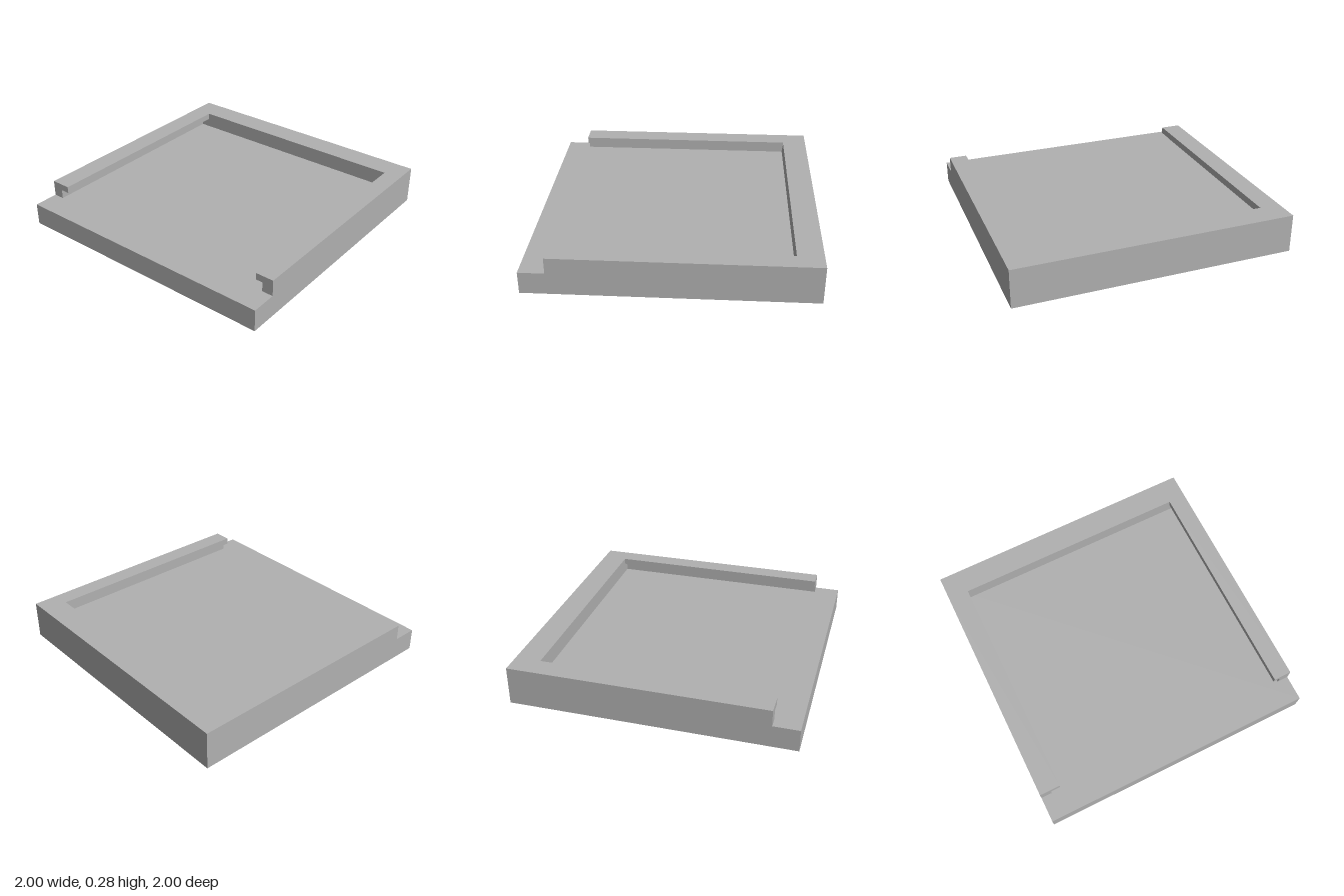
import * as THREE from 'three';

const BASE = 0.16, TOP = 0.277, LIP = 0.228; // base top, overall top, underside of lip
const INNER = 0.818;                         // inner face of end wall, open end of rails

export function createModel() {
  const model = new THREE.Group();
  model.name = 'slottedTray';
  const grey = new THREE.MeshStandardMaterial({ color: 0xb0b0b0 });
  grey.name = 'plain grey';

  const add = (name, geometry) => {
    const mesh = new THREE.Mesh(geometry, grey);
    mesh.name = name;
    model.add(mesh);
    return mesh;
  };

  // Solid base plate
  add('basePlate', new THREE.BoxGeometry(2, BASE, 2)).position.y = BASE / 2;

  // Full-height wall closing the left end
  add('endWall', new THREE.BoxGeometry(1 - INNER, TOP - BASE, 2))
    .position.set((1 + INNER) / 2, (TOP + BASE) / 2, 0);

  // Rail along x: upright stem with a lip overhanging the slot
  const addRail = (name, side, stem, lip) => {
    const points = [[1, BASE], [1, TOP], [lip, TOP], [lip, LIP], [stem, LIP], [stem, BASE]];
    // Shape x becomes -z once the extrusion is turned to run along x
    const shape = new THREE.Shape(points.map(([z, y]) => new THREE.Vector2(-side * z, y)));
    const geometry = new THREE.ExtrudeGeometry(shape, { depth: 2 * INNER, bevelEnabled: false });
    geometry.rotateY(Math.PI / 2).translate(-INNER, 0, 0);
    add(name, geometry);
  };
  addRail('frontRail', 1, 0.92, 0.87);
  addRail('backRail', -1, 0.92, 0.85);

  return model;
}
